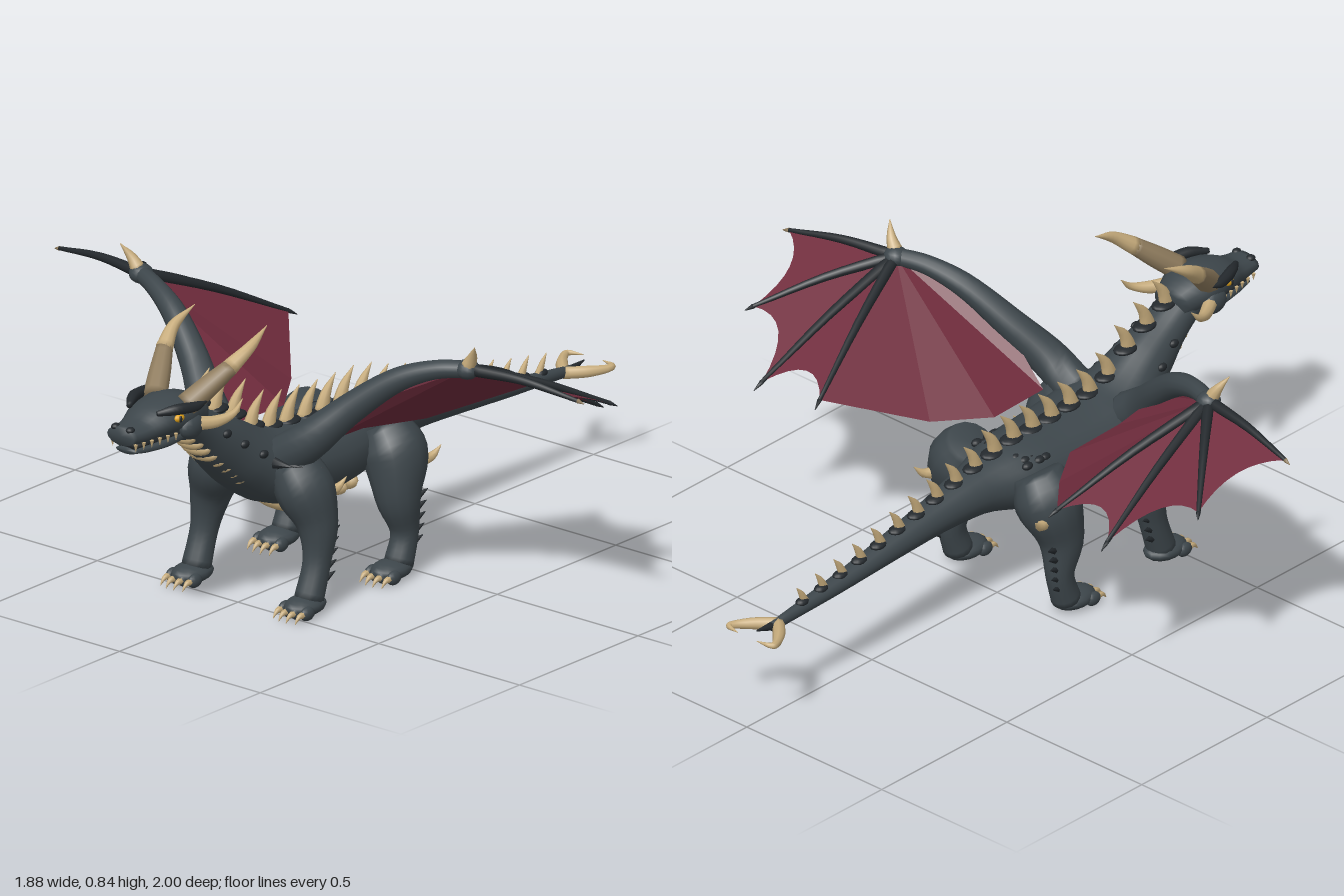
import * as THREE from 'three';

const paint = (name, color, extra = {}) => Object.assign(new THREE.MeshStandardMaterial({ color, ...extra }), { name });
const V = (a) => new THREE.Vector3(a[0], a[1], a[2]);
const UP = new THREE.Vector3(0, 1, 0), FORWARD = new THREE.Vector3(0, 0, 1);

// Smooth tapered tube through points [x, y, z, radius, second radius]
function loft(points, ref = UP, sides = 12, steps = 5) {
  const path = new THREE.CatmullRomCurve3(points.map(V), false, 'centripetal');
  const size = new THREE.CatmullRomCurve3(points.map((p) => new THREE.Vector3(p[3], p[4] ?? p[3], 0)), false, 'catmullrom', 0.4);
  const n = (points.length - 1) * steps, pos = [], index = [];
  for (let i = 0; i <= n; i++) {
    const p = path.getPoint(i / n), t = path.getTangent(i / n), r = size.getPoint(i / n);
    const side = new THREE.Vector3().crossVectors(ref, t).normalize();
    const up = new THREE.Vector3().crossVectors(t, side);
    for (let j = 0; j < sides; j++) {
      const a = (j / sides) * Math.PI * 2;
      const q = p.clone().addScaledVector(side, Math.cos(a) * Math.max(r.x, 0.001)).addScaledVector(up, Math.sin(a) * Math.max(r.y, 0.001));
      pos.push(q.x, q.y, q.z);
    }
  }
  const end = n * sides, c0 = pos.length / 3;
  pos.push(...points[0].slice(0, 3), ...points[points.length - 1].slice(0, 3));
  for (let j = 0; j < sides; j++) {
    const k = (j + 1) % sides;
    for (let i = 0; i < n; i++) {
      const a = i * sides + j, b = i * sides + k;
      index.push(a, b, b + sides, a, b + sides, a + sides);
    }
    index.push(c0, k, j, c0 + 1, end + j, end + k);
  }
  const g = new THREE.BufferGeometry();
  g.setAttribute('position', new THREE.Float32BufferAttribute(pos, 3));
  g.setIndex(index);
  g.computeVertexNormals();
  return g;
}

export function createModel() {
  const model = new THREE.Group();
  model.name = 'dragon';
  const hide = paint('charcoal hide', 0x3d464b);
  const dark = paint('dark scales', 0x24292d);
  const bone = paint('pale bone', 0xc8ad7d);
  const horn = paint('brown horn', 0x8f7c5e);
  const skin = paint('crimson membrane', 0x702c3d, { side: THREE.DoubleSide });
  const amber = paint('amber eye', 0xe0a21c);

  const add = (name, geo, mat) => {
    const m = new THREE.Mesh(geo, mat);
    m.name = name;
    model.add(m);
    return m;
  };
  const ball = (name, mat, p, s, tilt = 0) => {
    const m = add(name, new THREE.SphereGeometry(1, 14, 10), mat);
    m.position.set(...p);
    m.scale.set(...s);
    m.rotation.x = tilt;
    return m;
  };
  const both = (fn) => [1, -1].forEach(fn);
  const flip = (pts, s) => pts.map(([x, ...rest]) => [x * s, ...rest]);

  // Tail, trunk and neck: [z, y, half width, half height]
  const trunk = [[-0.9, 0.272, 0.012, 0.015], [-0.6, 0.3, 0.03, 0.027], [-0.3, 0.34, 0.048, 0.048], [-0.1, 0.362, 0.075, 0.07],
    [0.05, 0.36, 0.13, 0.1], [0.2, 0.352, 0.15, 0.11], [0.38, 0.37, 0.155, 0.108], [0.48, 0.415, 0.115, 0.095],
    [0.58, 0.485, 0.085, 0.082], [0.68, 0.56, 0.066, 0.058], [0.77, 0.62, 0.06, 0.05]];
  add('body', loft(trunk.map(([z, y, rx, ry]) => [0, y, z, rx, ry]), UP, 20), hide);
  const spineAt = (z) => {
    const i = Math.max(0, Math.min(trunk.length - 2, trunk.findIndex((s) => s[0] > z) - 1));
    const [a, b] = [trunk[i], trunk[i + 1]], t = (z - a[0]) / (b[0] - a[0]);
    return a.map((v, k) => v + (b[k] - v) * t);
  };

  // Row of spines from nape to tail
  for (let i = 0; i < 20; i++) {
    const z = 0.67 - i * 0.076, [, y, , ry] = spineAt(z);
    const slope = z > 0.45 ? 1.22 : 1, top = y + ry * slope;
    const k = z < -0.05 ? 1 + (z + 0.05) * 0.55 : 1.1;
    add('backSpine', loft([[0, top - 0.015, z + 0.01, 0.017 * k, 0.025 * k], [0, top + 0.035 * k, z - 0.008, 0.012 * k, 0.015 * k],
      [0, top + 0.08 * k, z - 0.045 * k, 0.001]], FORWARD, 8, 3), bone);
    ball('spineBase', dark, [0, top - 0.004, z - 0.005], [0.026 * k, 0.012, 0.036 * k]);
  }

  // Belly and throat plates
  for (let i = 0; i < 5; i++) ball('bellyPlate', bone, [0, 0.258, 0.11 + i * 0.055], [0.112 - Math.abs(i - 2) * 0.008, 0.036, 0.035]);
  for (let i = 0; i < 8; i++) {
    const t = i / 7;
    ball('throatPlate', bone, [0, 0.385 + t * 0.165, 0.55 + t * 0.18], [0.07 - t * 0.025, 0.024, 0.022], -0.7);
  }

  // Head
  add('skull', loft([[0, 0.61, 0.69, 0.055, 0.05], [0, 0.638, 0.78, 0.088, 0.055], [0, 0.637, 0.86, 0.08, 0.048],
    [0, 0.622, 0.93, 0.058, 0.034], [0, 0.622, 0.995, 0.048, 0.026]], UP, 14), hide);
  add('lowerJaw', loft([[0, 0.59, 0.74, 0.058, 0.03], [0, 0.574, 0.84, 0.058, 0.02], [0, 0.572, 0.92, 0.046, 0.014],
    [0, 0.576, 0.975, 0.034, 0.009]], UP, 12), hide);
  add('mouth', loft([[0, 0.592, 0.8, 0.058, 0.012], [0, 0.59, 0.97, 0.038, 0.01]], UP, 10), dark);

  both((s) => {
    // Face
    ball('eye', amber, [s * 0.077, 0.65, 0.84], [0.012, 0.012, 0.018]);
    ball('pupil', dark, [s * 0.087, 0.65, 0.845], [0.004, 0.01, 0.005]);
    add('brow', loft(flip([[0.05, 0.672, 0.9, 0.008], [0.078, 0.677, 0.85, 0.016], [0.095, 0.674, 0.79, 0.014], [0.1, 0.68, 0.75, 0.003]], s), UP, 8), dark);
    ball('nostril', dark, [s * 0.026, 0.643, 0.985], [0.012, 0.009, 0.014]);
    ball('cheek', hide, [s * 0.075, 0.61, 0.785], [0.025, 0.035, 0.045]);
    for (let i = 0; i < 6; i++) {
      const tooth = add('tooth', new THREE.ConeGeometry(0.006, 0.022, 6), bone);
      tooth.position.set(s * (0.066 - i * 0.005), 0.592, 0.84 + i * 0.028);
      tooth.rotation.x = Math.PI;
    }
    // Horns, brown at the root and pale at the tip
    add('hornRoot', loft(flip([[0.055, 0.665, 0.785, 0.034], [0.085, 0.71, 0.73, 0.031], [0.118, 0.76, 0.67, 0.024]], s), UP, 10), horn);
    add('hornTip', loft(flip([[0.116, 0.757, 0.674, 0.025], [0.135, 0.803, 0.61, 0.016], [0.128, 0.842, 0.53, 0.001]], s), UP, 10), bone);
    add('cheekHorn', loft(flip([[0.07, 0.615, 0.78, 0.021], [0.105, 0.612, 0.72, 0.018], [0.128, 0.628, 0.67, 0.01], [0.13, 0.66, 0.635, 0.001]], s), UP, 8), bone);

    // Legs
    const legs = [
      ['front', [[0.11, 0.41, 0.41, 0.07], [0.155, 0.335, 0.4, 0.083], [0.19, 0.24, 0.39, 0.058], [0.2, 0.14, 0.405, 0.04], [0.2, 0.035, 0.44, 0.042]], 0.455, [0.18, 0.325, 0.335]],
      ['hind', [[0.12, 0.41, 0.03, 0.07], [0.16, 0.34, 0.03, 0.093], [0.19, 0.225, 0.05, 0.065], [0.2, 0.12, 0.035, 0.04], [0.2, 0.035, 0.06, 0.042]], 0.09, [0.2, 0.315, -0.04]]];
    for (const [kind, pts, footZ, spur] of legs) {
      add(kind + 'Leg', loft(flip(pts, s), FORWARD, 14), hide);
      ball(kind + 'Foot', hide, [s * 0.2, 0.028, footZ], [0.05, 0.028, 0.07]);
      for (let i = -1.5; i < 2; i++) {
        const x = s * 0.2 + i * 0.026, z = footZ + 0.056 - Math.abs(i) * 0.008;
        ball('toe', hide, [x, 0.021, z - 0.008], [0.015, 0.02, 0.026]);
        add('claw', loft([[x, 0.022, z + 0.008, 0.01], [x, 0.021, z + 0.028, 0.007], [x, 0.004, z + 0.044, 0.001]], UP, 6, 3), bone);
      }
      const [x, y, z] = spur;
      add(kind + 'Spur', loft(flip([[x, y - 0.005, z + 0.02, 0.02], [x + 0.015, y, z - 0.02, 0.013], [x + 0.025, y + 0.028, z - 0.05, 0.001]], s), UP, 8, 3), bone);
      for (let i = 0; i < 5; i++) {
        const h = 0.09 + i * 0.032, back = pts[3][2] - 0.036 - i * 0.005;
        add('legScale', loft([[s * 0.215, h, back + 0.015, 0.011], [s * 0.222, h + 0.012, back - 0.016, 0.001]], UP, 6, 1), dark);
      }
    }

    // Wing arm
    const wrist = [0.58, 0.735, 0.22];
    add('wingArm', loft(flip([[0.09, 0.42, 0.42, 0.06], [0.17, 0.48, 0.41, 0.056], [0.28, 0.59, 0.35, 0.043], [0.4, 0.685, 0.295, 0.034],
      [0.5, 0.725, 0.255, 0.027], [...wrist, 0.024]], s), UP, 12), hide);
    ball('wrist', hide, [s * 0.58, 0.735, 0.22], [0.034, 0.028, 0.034]);
    add('thumbClaw', loft(flip([[0.585, 0.745, 0.225, 0.022], [0.605, 0.778, 0.23, 0.014], [0.63, 0.818, 0.25, 0.001]], s), FORWARD, 8, 3), bone);

    // Wing fingers
    const tips = [[0.92, 0.708, 0.16], [0.825, 0.61, -0.085], [0.64, 0.515, -0.25], [0.44, 0.53, -0.235]];
    const w = V(wrist);
    tips.forEach((tip, i) => {
      const end = V(tip), mid = w.clone().lerp(end, 0.5);
      mid.y += 0.012;
      const over = end.clone().lerp(w, -0.06);
      add('wingFinger', loft(flip([[...wrist, 0.017], [...mid.toArray(), 0.012], [...tip, 0.006]], s), UP, 8, 4), dark);
      add('fingerClaw', loft(flip([[...tip, 0.007], [over.x, over.y - 0.004, over.z, 0.001]], s), UP, 6, 2), i ? dark : horn);
    });

    // Membrane: scalloped panels between fingers, then the panel to the flank
    const rim = [];
    for (let i = 0; i < 3; i++) {
      const a = V(tips[i]), b = V(tips[i + 1]);
      const pull = a.clone().lerp(b, 0.5).lerp(w, 0.3);
      rim.push(...new THREE.QuadraticBezierCurve3(a, pull, b).getPoints(8));
    }
    rim.push(...[[0.24, 0.445, -0.01], [0.14, 0.435, 0.14], [0.14, 0.44, 0.335], [0.28, 0.585, 0.34], [0.4, 0.68, 0.29]].map(V));
    const tri = [];
    for (let i = 0; i < rim.length - 1; i++) {
      const corners = s > 0 ? [w, rim[i], rim[i + 1]] : [w, rim[i + 1], rim[i]];
      corners.forEach((p) => tri.push(p.x * s, p.y, p.z));
    }
    const g = new THREE.BufferGeometry();
    g.setAttribute('position', new THREE.Float32BufferAttribute(tri, 3));
    g.computeVertexNormals();
    add('wingMembrane', g, skin);

    // Raised scales on the hips, shoulders and neck
    for (let i = 0; i < 9; i++) {
      const x = 0.05 + (i % 3) * 0.022, z = 0.02 + Math.floor(i / 3) * 0.035 + (i % 2) * 0.012;
      ball('hipScale', dark, [s * x, 0.448 - x * 0.25, z], [0.013, 0.011, 0.018]);
    }
    for (let i = 0; i < 4; i++) {
      const z = 0.45 + i * 0.06, [, y, rx] = spineAt(z);
      ball('neckScale', dark, [s * rx * 0.95, y + 0.02, z], [0.01, 0.012, 0.016]);
      add('shoulderScale', loft(flip([[0.12, 0.43 - i * 0.008, 0.49 - i * 0.02, 0.016], [0.175 + i * 0.01, 0.425 - i * 0.006, 0.475 - i * 0.03, 0.001]], s), UP, 6, 1), dark);
    }

    // Forked tail blade
    add('tailProng', loft(flip([[0, 0.272, -0.875, 0.018], [0.045, 0.274, -0.92, 0.017], [0.076, 0.277, -0.965, 0.012], [0.08, 0.28, -0.985, 0.009],
      [0.035, 0.282, -0.998, 0.001]], s), UP, 8, 4), bone);
  });
  add('tailTip', loft([[0, 0.272, -0.89, 0.014], [0, 0.285, -0.96, 0.002]], UP, 8, 2), dark);
  return model;
}
